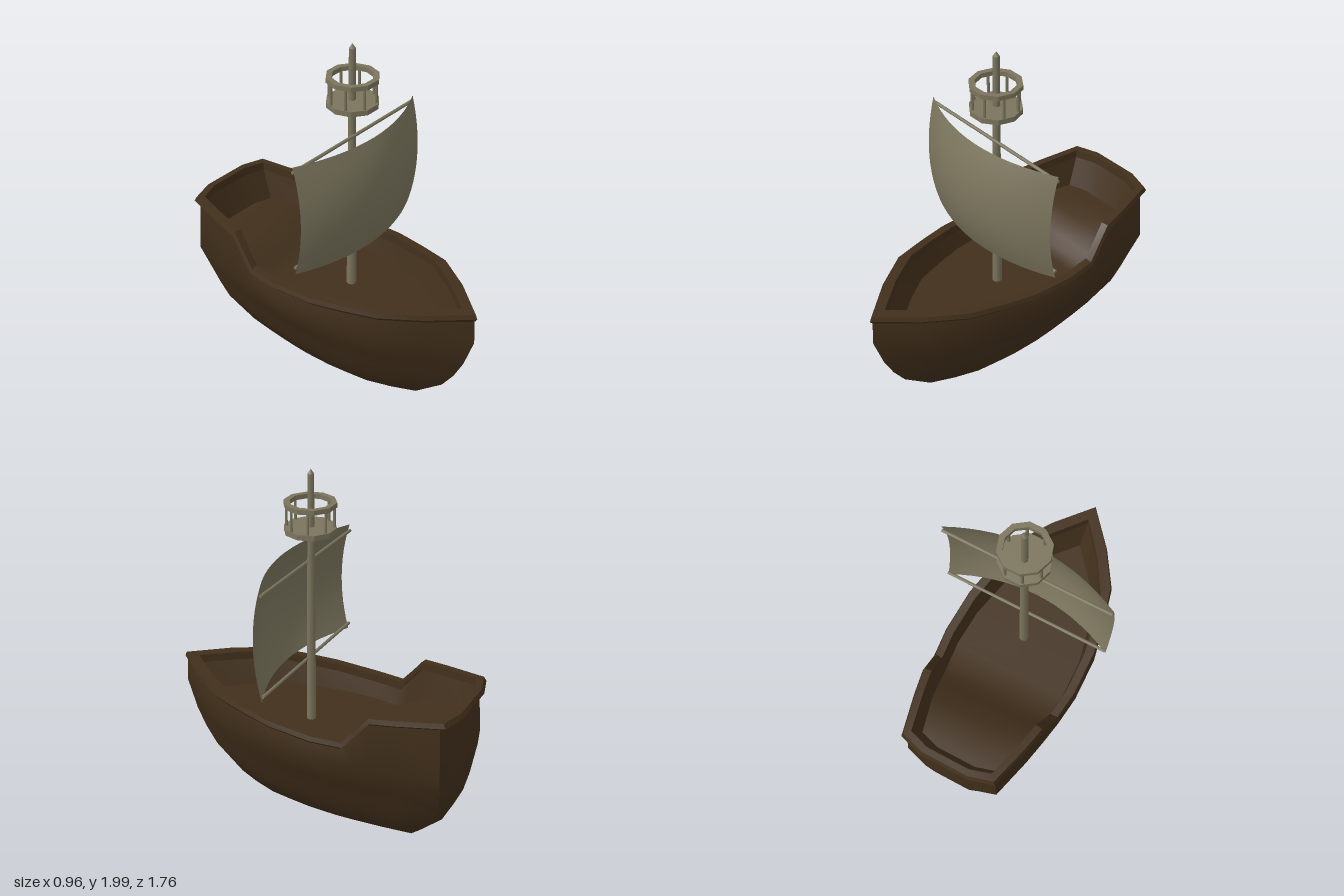
import * as THREE from 'three';
import { toCreasedNormals } from 'three/addons/utils/BufferGeometryUtils.js';

const wood = new THREE.MeshStandardMaterial({ color: 0x412f1b });
const pale = new THREE.MeshStandardMaterial({ color: 0x7b755d });
const cloth = new THREE.MeshStandardMaterial({ color: 0x7b755d, side: THREE.DoubleSide });

const MAST_Z = 0.047;

// piecewise linear lookup in [[x, y], ...] sorted by falling x
function lookup(table, x) {
  for (let i = 1; i < table.length; i++) {
    const [x0, y0] = table[i - 1], [x1, y1] = table[i];
    if (x >= x1) return y0 + (y1 - y0) * Math.min(1, Math.max(0, (x - x0) / (x1 - x0)));
  }
  return table[table.length - 1][1];
}

// half outline of the rim seen from above: [z, relative half width]
const OUTLINE = [
  [0.87, 0], [0.67, 0.43], [0.47, 0.755], [0.28, 0.88], [0.1, 0.975], [-0.15, 1], [-0.32, 0.955],
  [-0.39, 0.925], [-0.46, 0.895], [-0.6, 0.825], [-0.83, 0.68], [-0.87, 0.35], [-0.87, 0],
];
const SHEER = [[0.87, 0.76], [0.5, 0.755], [0.2, 0.73], [0, 0.715], [-0.15, 0.71], [-0.32, 0.712], [-0.46, 0.88], [-0.87, 0.915]];
const sheer = (z) => lookup(SHEER, z);
const underRail = (z) => sheer(z) - 0.045;
const keel = (z) => 0.005 + 0.025 * z * z;
const deckHeight = (z) => 0.57 + 0.13 * THREE.MathUtils.smoothstep(-z, 0.3, 0.62);

function addMesh(group, name, geometry, material, x = 0, y = 0, z = 0) {
  const mesh = new THREE.Mesh(geometry, material);
  mesh.name = name;
  mesh.position.set(x, y, z);
  group.add(mesh);
  return mesh;
}

// skin through horizontal rings: [height or height(z), bow z, stern z, half width]
function hullGeometry(rings, crease) {
  const mirrored = OUTLINE.slice(1, -1).reverse().map(([z, w]) => [z, -w]);
  const loop = [...OUTLINE, ...mirrored];
  const n = loop.length, pos = [], idx = [];
  for (const [height, bow, stern, half] of rings) {
    for (const [z0, w] of loop) {
      const z = stern + (bow - stern) * (z0 + 0.87) / 1.74;
      pos.push(w * half, typeof height === 'function' ? height(z0) : height, z);
    }
  }
  for (let j = 0; j < rings.length - 1; j++) {
    for (let i = 0; i < n; i++) {
      const a = j * n + i, b = j * n + (i + 1) % n;
      idx.push(a, b, a + n, b, b + n, a + n);
    }
  }
  const g = new THREE.BufferGeometry();
  g.setAttribute('position', new THREE.Float32BufferAttribute(pos, 3));
  g.setIndex(idx);
  return toCreasedNormals(g, crease);
}

// sheet bellied forward both across and up
function sailGeometry() {
  const g = new THREE.PlaneGeometry(0.96, 0.63, 16, 12);
  const p = g.attributes.position;
  for (let i = 0; i < p.count; i++) {
    const u = p.getX(i) / 0.48, v = p.getY(i) / 0.315;
    const across = 1 - u * u, up = 1 - v * v;
    p.setZ(i, 0.07 + 0.12 * across + (0.045 + 0.028 * across) * up);
  }
  g.computeVertexNormals();
  return g;
}

export function createModel() {
  const ship = new THREE.Group();
  ship.name = 'sailingShip';

  // outer hull from keel up to the rail
  addMesh(ship, 'hull', hullGeometry([
    [keel, 0.3, -0.46, 0],
    [0.06, 0.52, -0.63, 0.135],
    [0.2, 0.69, -0.77, 0.222],
    [0.3, 0.76, -0.815, 0.262],
    [0.41, 0.815, -0.84, 0.312],
    [0.58, 0.872, -0.862, 0.403],
    [underRail, 0.865, -0.845, 0.385],
  ], 0.9), wood, -0.022);
  // rail overhanging the hull on both sides
  addMesh(ship, 'rail', hullGeometry([
    [underRail, 0.865, -0.845, 0.385],
    [(z) => sheer(z) - 0.025, 0.88, -0.878, 0.405],
    [sheer, 0.87, -0.865, 0.396],
    [sheer, 0.785, -0.83, 0.352],
    [underRail, 0.78, -0.825, 0.35],
    [underRail, 0.79, -0.835, 0.36],
  ], 0.5), wood, -0.022);
  addMesh(ship, 'deckAndInnerWall', hullGeometry([
    [underRail, 0.79, -0.835, 0.36],
    [deckHeight, 0.695, -0.765, 0.332],
    [deckHeight, 0.695, -0.765, 0],
  ], 0.6), wood, -0.022);

  // mast with pointed tip
  addMesh(ship, 'mast', new THREE.CylinderGeometry(0.017, 0.027, 1.42, 8), pale, 0, 1.265, MAST_Z);
  addMesh(ship, 'mastTip', new THREE.ConeGeometry(0.017, 0.025, 8), pale, 0, 1.9875, MAST_Z);

  // sail and its two yards
  addMesh(ship, 'sail', sailGeometry(), cloth, 0, 1.215, 0);
  for (const y of [1.497, 0.935]) {
    const yard = addMesh(ship, 'yard', new THREE.CylinderGeometry(0.009, 0.009, 0.955, 8), pale, 0, y, 0.066);
    yard.rotation.z = Math.PI / 2;
  }

  // lookout basket: floor, posts and ring
  const nest = new THREE.Group();
  nest.name = 'lookout';
  nest.position.z = MAST_Z + 0.003;
  ship.add(nest);
  const floor = new THREE.CylinderGeometry(0.137, 0.137, 0.028, 10);
  addMesh(nest, 'lookoutFloor', toCreasedNormals(floor, 0.5), pale, 0, 1.682, 0).rotation.y = Math.PI / 2;
  const corners = (r) => Array.from({ length: 10 }, (_, i) =>
    new THREE.Vector2(Math.cos(i * Math.PI / 5) * r, Math.sin(i * Math.PI / 5) * r));
  const ringShape = new THREE.Shape(corners(0.137));
  ringShape.holes.push(new THREE.Path(corners(0.107)));
  const ring = new THREE.ExtrudeGeometry(ringShape, { depth: 0.025, bevelEnabled: false });
  ring.rotateX(-Math.PI / 2);
  addMesh(nest, 'lookoutRing', ring, pale, 0, 1.805, 0);
  for (let i = 0; i < 8; i++) {
    const a = (i + 0.5) * Math.PI / 4;
    addMesh(nest, 'lookoutPost', new THREE.CylinderGeometry(0.008, 0.008, 0.13, 6), pale,
      Math.cos(a) * 0.122, 1.752, Math.sin(a) * 0.122);
  }
  return ship;
}
